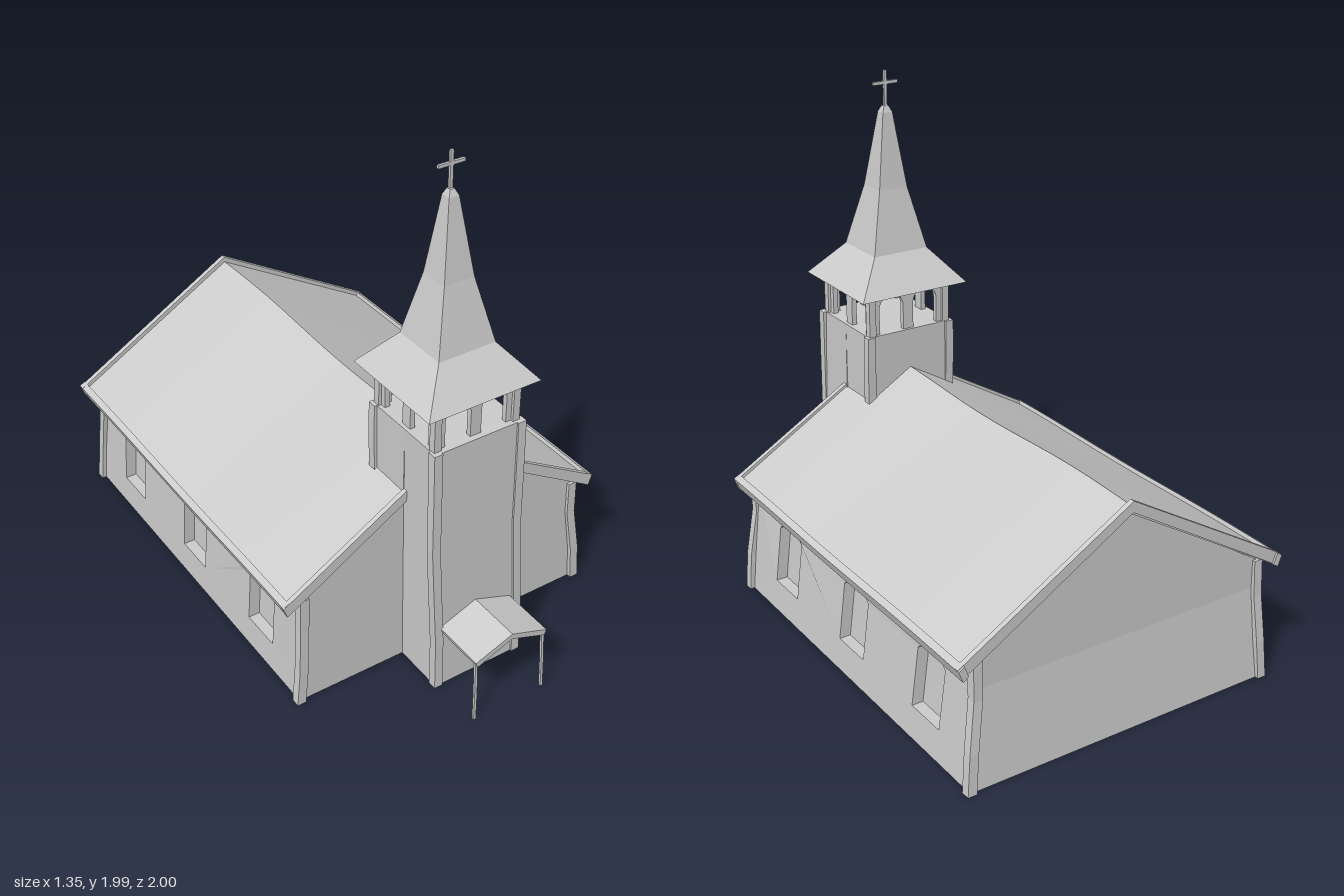
import * as THREE from 'three';

const mat = new THREE.MeshStandardMaterial({ color: 0xcccccc, flatShading: true, side: THREE.DoubleSide });

const poly = (pts) => new THREE.Shape(pts.map(([x, y]) => new THREE.Vector2(x, y)));

// Move every vertex of a geometry by a rule
function warp(geo, rule) {
  const p = geo.attributes.position, v = new THREE.Vector3();
  for (let i = 0; i < p.count; i++) {
    rule(v.fromBufferAttribute(p, i));
    p.setXYZ(i, v.x, v.y, v.z);
  }
  geo.computeVertexNormals();
  return geo;
}

// Outline extruded along z from z0 to z1
function prism(pts, z0, z1, steps = 1) {
  return new THREE.ExtrudeGeometry(poly(pts), { depth: z1 - z0, steps, bevelEnabled: false }).translate(0, 0, z0);
}

// Square post following a slightly crooked path of [x, y, z] points
function post(path, w, d) {
  const n = path.length - 1;
  return warp(new THREE.BoxGeometry(w, 1, d, 1, n, 1), (v) => {
    const [x, y, z] = path[Math.round((v.y + 0.5) * n)];
    v.set(v.x + x, y, v.z + z);
  });
}

// Upside-down V: ridge height, half width, eave height, vertical thickness
const chevron = (ridge, half, eave, t) => [
  [0, ridge], [half, eave], [half - t * 0.35, eave - t], [0, ridge - t], [-half + t * 0.35, eave - t], [-half, eave],
];

// Gentle wave of the old roof along its length
const sag = (v) => { v.y -= 0.008 * Math.cos((v.z + 0.1) * Math.PI / 0.55) * (v.y / 0.86) ** 2; };

export function createModel() {
  const root = new THREE.Group();
  const add = (name, geo, parent = root) => {
    const m = new THREE.Mesh(geo, mat);
    m.name = name;
    parent.add(m);
    return m;
  };

  // --- Nave walls ---
  const base = { 1: 0.632, '-1': 0.612 };   // foot of each side wall
  const eaveX = 0.588, eaveY = 0.47, frontZ = 0.588;
  const wallX = (s, y) => base[s] + (eaveX - base[s]) * Math.min(y / 0.36, 1);
  const gable = [[-base[-1], 0], [base[1], 0], [eaveX, 0.36], [eaveX, eaveY], [0, 0.835], [-eaveX, eaveY], [-eaveX, 0.36]];
  add('frontWall', new THREE.ShapeGeometry(poly(gable)).translate(0, 0, frontZ));
  add('backWall', warp(new THREE.ShapeGeometry(poly(gable)).rotateY(Math.PI).scale(-1, 1, 1), (v) => {
    v.z = -0.983 + 0.033 * Math.min(v.y / 0.36, 1);
  }));

  const win = (c, g = 0) => [
    [c - 0.085 - g, 0.115 - g], [c + 0.085 + g, 0.115 - g], [c + 0.085 + g, 0.335 + g],
    [c, 0.415 + g * 1.4], [c - 0.085 - g, 0.335 + g],
  ];
  for (const s of [1, -1]) {
    const side = new THREE.Group();
    side.name = s > 0 ? 'leftSide' : 'rightSide';
    root.add(side);
    // wall plane is drawn as (-z, y), turned to face +x, then leaned and mirrored
    const place = (g) => warp(g.rotateY(Math.PI / 2), (v) => { v.x = s * (v.x + wallX(1 * s, v.y)); });
    const wall = poly([[-frontZ, 0], [0.983, 0], [0.95, 0.36], [0.95, eaveY], [-frontZ, eaveY], [-frontZ, 0.36]]);
    for (const c of [-0.31, 0.187, 0.687]) {
      wall.holes.push(new THREE.Path(poly(win(c)).getPoints()));
      const reveal = poly(win(c, 0.004));
      reveal.holes.push(new THREE.Path(poly(win(c)).getPoints()));
      add('windowReveal', place(new THREE.ExtrudeGeometry(reveal, { depth: 0.045, bevelEnabled: false }).translate(0, 0, -0.046)), side);
      add('windowPane', place(new THREE.ShapeGeometry(poly(win(c, 0.003))).translate(0, 0, -0.045)), side);
    }
    add('sideWall', place(new THREE.ShapeGeometry(wall)), side);

    // Corner boards
    const b = base[s];
    add('frontCornerBoard', post([[s * b, 0, 0.588], [s * (b - 0.012), 0.15, 0.588], [s * (eaveX + 0.003), 0.33, 0.583], [s * eaveX, 0.47, 0.583]], 0.035, 0.035), side);
    add('backCornerBoard', post([[s * b, 0, -0.98], [s * (b - 0.012), 0.15, -0.972], [s * (eaveX + 0.003), 0.33, -0.95], [s * eaveX, 0.47, -0.944]], 0.035, 0.035), side);

    // Eave board along the lower roof edge
    const eave = [[0.676, 0.477], [0.66, 0.435], [0.638, 0.449], [0.654, 0.491]].map(([x, y]) => [s * x, y]);
    add('eaveBoard', warp(prism(eave, -0.985, 0.605, 12), sag), side);
  }

  // --- Nave roof ---
  add('roof', warp(prism(chevron(0.857, 0.665, 0.467, 0.03), -0.965, 0.595, 14), sag));
  add('frontRakeBoard', prism(chevron(0.873, 0.676, 0.477, 0.042), 0.587, 0.606));
  add('backRakeBoard', prism(chevron(0.877, 0.676, 0.479, 0.042), -0.978, -0.958));

  // --- Tower ---
  const tower = new THREE.Group();
  tower.name = 'tower';
  root.add(tower);
  const lean = (y) => 0.012 * (1 - y / 1.02);
  const towerFront = (y) => 0.795 - 0.03 * (y / 1.02);
  add('towerFront', warp(new THREE.BoxGeometry(0.36, 1.02, 1), (v) => {
    v.y += 0.51;
    v.x += lean(v.y);
    v.z = v.z > 0 ? towerFront(v.y) : 0.58;
  }), tower);
  add('towerBack', prism([[-0.18, 0.74], [0, 0.84], [0.18, 0.74], [0.18, 1.02], [-0.18, 1.02]], 0.4, 0.59), tower);
  for (const s of [1, -1]) {
    const wob = [0.003, 0.008, 0, -0.008, -0.002, 0.003];
    const path = wob.map((w, i) => {
      const y = i * 0.204;
      return [s * 0.173 + lean(y) + w * 0.8, y, towerFront(y) - 0.01];
    });
    add('towerFrontBoard', post(path, 0.034, 0.034), tower);
    add('towerBackBoard', post([[s * 0.173, 0.74, 0.412], [s * 0.175, 0.88, 0.409], [s * 0.173, 1.02, 0.407]], 0.034, 0.034), tower);
  }

  // --- Belfry: four walls, each with two arched openings ---
  const belfry = new THREE.Group();
  belfry.name = 'belfry';
  belfry.position.set(0, 1.015, 0.577);
  root.add(belfry);
  const arcade = new THREE.Shape();
  arcade.moveTo(-0.165, 0);
  for (const c of [-0.074, 0.074]) {
    arcade.lineTo(c - 0.052, 0);
    arcade.lineTo(c - 0.052, 0.104);
    arcade.absarc(c, 0.104, 0.052, Math.PI, 0, true);
    arcade.lineTo(c + 0.052, 0);
  }
  arcade.lineTo(0.165, 0);
  arcade.lineTo(0.165, 0.17);
  arcade.lineTo(-0.165, 0.17);
  for (let i = 0; i < 4; i++) {
    const panel = new THREE.ExtrudeGeometry(arcade, { depth: 0.02, bevelEnabled: false, curveSegments: 8 });
    add('archedPanel', panel.translate(0, 0, 0.145).rotateY(i * Math.PI / 2), belfry);
    const a = Math.PI / 4 + i * Math.PI / 2, r = 0.162 * Math.SQRT2;
    add('cornerPost', new THREE.BoxGeometry(0.028, 0.17, 0.028).translate(Math.cos(a) * r, 0.085, Math.sin(a) * r), belfry);
  }

  // --- Spire and cross ---
  const profile = [[0, 1.18], [0.228, 1.18], [0.115, 1.312], [0.06, 1.55], [0.02, 1.835], [0.009, 1.858], [0, 1.86]];
  const spire = new THREE.LatheGeometry(profile.map(([r, y]) => new THREE.Vector2(r * Math.SQRT2, y)), 4).rotateY(Math.PI / 4);
  add('spire', warp(spire, (v) => { v.z = v.z * 0.96 + 0.572 - 0.022 * (v.y - 1.18); }));
  add('crossUpright', new THREE.BoxGeometry(0.012, 0.14, 0.01).translate(0, 1.92, 0.555));
  add('crossArm', new THREE.BoxGeometry(0.104, 0.012, 0.01).translate(0, 1.944, 0.555));

  // --- Porch ---
  const porch = new THREE.Group();
  porch.name = 'porch';
  root.add(porch);
  add('porchRoof', prism(chevron(0.325, 0.154, 0.268, 0.022), 0.78, 0.998), porch).position.x = 0.003;
  for (const s of [1, -1]) {
    add('porchPost', post([[s * 0.149 + 0.004, 0, 0.995], [s * 0.147 + 0.004, 0.13, 0.991], [s * 0.145 + 0.003, 0.255, 0.985]], 0.01, 0.01), porch);
  }

  return root;
}
